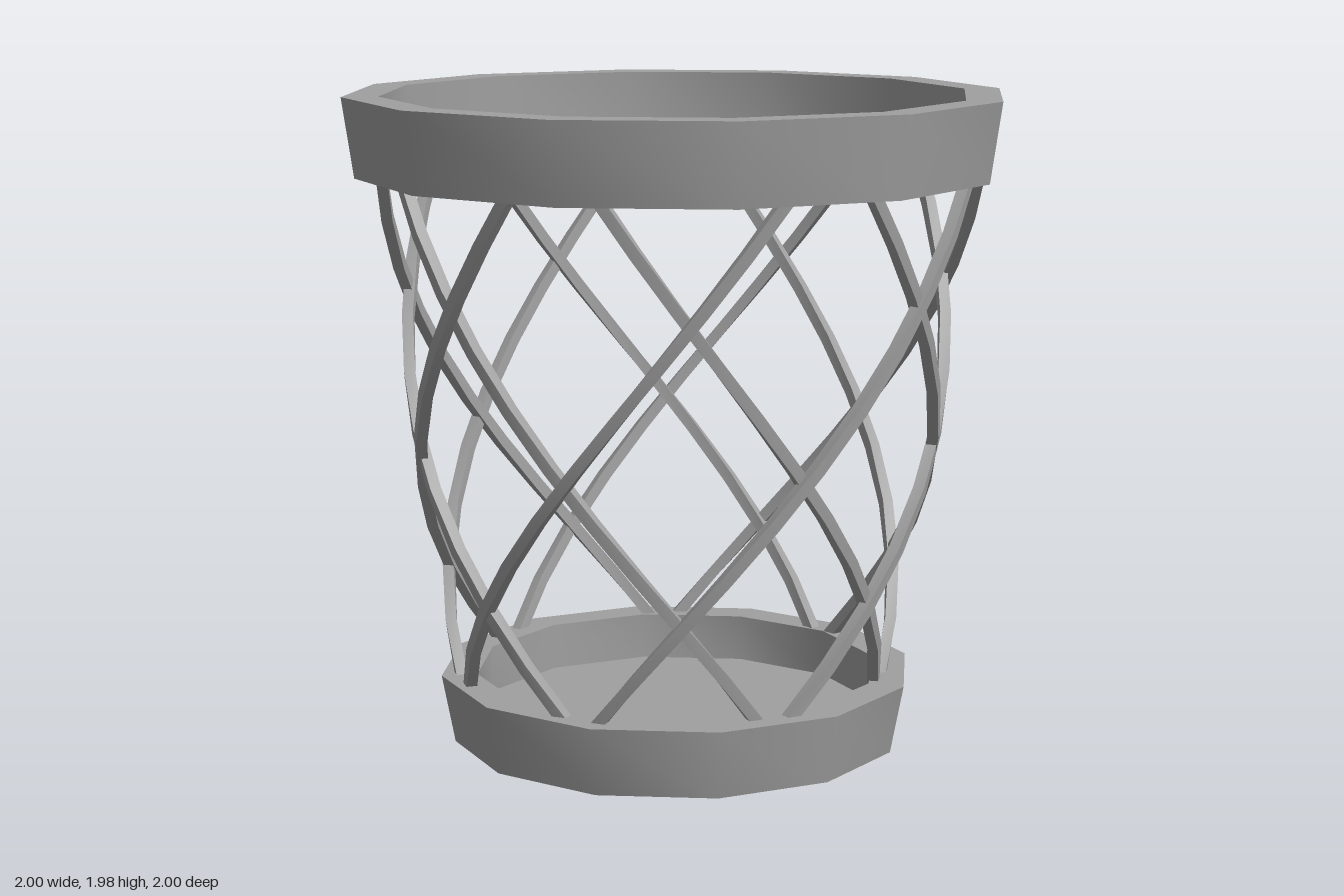
import * as THREE from 'three';
import { toCreasedNormals } from 'three/addons/utils/BufferGeometryUtils.js';

const material = new THREE.MeshStandardMaterial({ color: 0xa0a0a0 });
const SIDES = 12;
const STRANDS = 7;

// Twelve-sided turned part from [radius, height] points
function turned(name, points) {
  const profile = points.map(([r, y]) => new THREE.Vector2(r, y));
  const geometry = toCreasedNormals(new THREE.LatheGeometry(profile, SIDES), 0.6);
  const mesh = new THREE.Mesh(geometry, material);
  mesh.name = name;
  return mesh;
}

// Square bar climbing around the basket wall; angles in degrees, from +x towards +z
function strandGeometry(startAngle, { direction, low, high }) {
  const steps = 10, half = 0.017, sweep = 89;
  const yLow = 0.21, yHigh = 1.74, rLow = 0.65, rHigh = 0.885;

  const axisAt = (t) => new THREE.Vector3(
    THREE.MathUtils.lerp(low[0], high[0], t),
    THREE.MathUtils.lerp(yLow, yHigh, t),
    THREE.MathUtils.lerp(low[1], high[1], t),
  );
  // the wall bulges slightly and the climb steepens towards the top
  const pointAt = (t) => {
    const bow = t * (1 - t);
    const a = THREE.MathUtils.degToRad(startAngle + direction * sweep * (t + 0.22 * bow));
    const r = THREE.MathUtils.lerp(rLow, rHigh, t) + 0.1 * bow;
    return axisAt(t).add(new THREE.Vector3(r * Math.cos(a), 0, r * Math.sin(a)));
  };

  const positions = [], index = [];
  for (let i = 0; i <= steps; i++) {
    // run a little past both ends so that they sit inside the rings
    const t = -0.015 + (1.03 * i) / steps;
    const p = pointAt(t);
    const along = pointAt(t + 0.01).sub(pointAt(t - 0.01)).normalize();
    const out = p.clone().sub(axisAt(t));
    out.addScaledVector(along, -out.dot(along)).normalize();
    const side = new THREE.Vector3().crossVectors(along, out);
    for (const [u, v] of [[1, 1], [-1, 1], [-1, -1], [1, -1]]) {
      const c = p.clone().addScaledVector(out, u * half).addScaledVector(side, v * half);
      positions.push(c.x, c.y, c.z);
    }
    if (i === steps) continue;
    for (let k = 0; k < 4; k++) {
      const a = i * 4 + k, b = i * 4 + (k + 1) % 4;
      index.push(a, b, b + 4, a, b + 4, a + 4);
    }
  }
  // end caps
  const e = steps * 4;
  index.push(0, 2, 1, 0, 3, 2, e, e + 1, e + 2, e, e + 2, e + 3);

  const geometry = new THREE.BufferGeometry();
  geometry.setAttribute('position', new THREE.Float32BufferAttribute(positions, 3));
  geometry.setIndex(index);
  return toCreasedNormals(geometry, 0.6);
}

export function createModel() {
  const basket = new THREE.Group();
  basket.name = 'wasteBasket';

  // Shallow dish with a raised edge
  basket.add(turned('base', [
    [0, 0], [0.69, 0], [0.73, 0.21], [0.62, 0.21], [0.62, 0.065], [0, 0.065],
  ]));

  // Top ring, flared outside and straight inside
  basket.add(turned('rim', [
    [0.89, 1.74], [0.965, 1.74], [1, 1.98], [0.89, 1.98], [0.89, 1.74],
  ]));

  // Two opposing sets of spiral strands form the lattice wall;
  // low and high are the [x, z] centres of each set at its foot and head
  const wall = new THREE.Group();
  wall.name = 'latticeWall';
  const sets = [
    { name: 'forwardStrand', direction: 1, phase: 26, low: [-0.02, -0.02], high: [0.025, -0.005] },
    { name: 'reverseStrand', direction: -1, phase: 15.9, low: [-0.015, 0], high: [0, 0.03] },
  ];
  for (const set of sets) {
    for (let i = 0; i < STRANDS; i++) {
      const strand = new THREE.Mesh(strandGeometry(set.phase + (360 / STRANDS) * i, set), material);
      strand.name = set.name;
      wall.add(strand);
    }
  }
  basket.add(wall);
  return basket;
}
